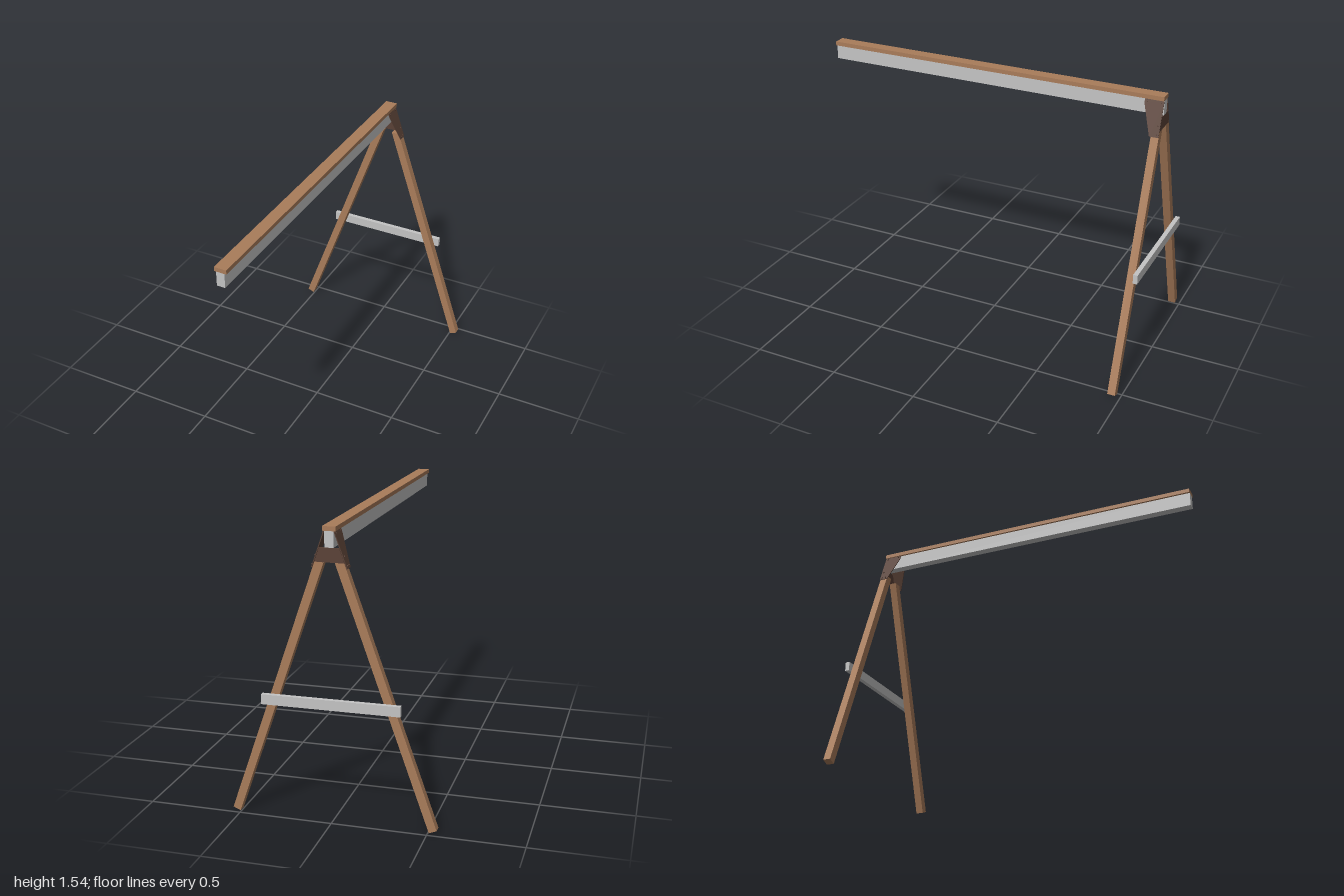
import * as THREE from 'three';

export function createModel() {
  const model = new THREE.Group();
  model.name = 'swingFrame';

  const mat = (name, color) => {
    const m = new THREE.MeshStandardMaterial({ color });
    m.name = name;
    return m;
  };
  const wood = mat('wood', 0xa97c5a);
  const grey = mat('galvanisedGrey', 0xc4c4c4);
  const dark = mat('darkBracket', 0x5a4136);

  const add = (name, geometry, material) => {
    const mesh = new THREE.Mesh(geometry, material);
    mesh.name = name;
    model.add(mesh);
    return mesh;
  };
  // Box given by its lower and upper limits
  const box = (name, material, [x0, y0, z0], [x1, y1, z1]) =>
    add(name, new THREE.BoxGeometry(x1 - x0, y1 - y0, z1 - z0), material)
      .position.set((x0 + x1) / 2, (y0 + y1) / 2, (z0 + z1) / 2);
  // Flat outline extruded along z
  const prism = (points, depth) => new THREE.ExtrudeGeometry(
    new THREE.Shape(points.map(([x, y]) => new THREE.Vector2(x, y))),
    { depth, bevelEnabled: false });

  const back = -0.975;

  // Long beam with its cap board
  box('capBoard', wood, [-0.034, 1.518, back], [0.034, 1.541, 1]);
  box('beam', grey, [-0.023, 1.437, back], [0.023, 1.518, 1]);

  // Cross brace behind the legs
  box('crossBrace', grey, [-0.362, 0.617, -1], [0.362, 0.67, back]);

  // Bracket plate under the beam, between the side plates
  add('bracketBackPlate', prism(
    [[-0.076, 1.364], [0.076, 1.364], [0.051, 1.437], [-0.051, 1.437]], 0.007), dark)
    .position.z = back;

  const slope = 0.352;
  const plateX = (y) => 0.0235 + slope * (1.518 - y);

  for (const s of [1, -1]) {
    const side = s > 0 ? 'left' : 'right';

    // Splayed leg, cut level at the top and square at the foot
    add(side + 'Leg', prism(
      [[s * 0.506, 0.003], [s * 0.546, 0.019], [s * 0.075, 1.365], [s * 0.028, 1.365]], 0.043), wood)
      .position.z = back;

    // Side plate of the bracket, sheared to follow the leg
    const plate = prism(
      [[back, 1.337], [-0.925, 1.337], [-0.872, 1.495], [-0.872, 1.517], [back, 1.517]]
        .map(([z, y]) => [-s * z, y]), 0.005);
    plate.rotateY(s * Math.PI / 2);
    const p = plate.attributes.position;
    for (let i = 0; i < p.count; i++) {
      p.setX(i, p.getX(i) + s * plateX(p.getY(i)));
    }
    plate.computeVertexNormals();
    add(side + 'BracketPlate', plate, dark);

    // Bolt heads on the side plate
    for (const [y, z] of [[1.507, -0.885], [1.507, -0.96], [1.395, -0.96], [1.35, -0.962], [1.35, -0.938]]) {
      const bolt = add(side + 'Bolt', new THREE.CylinderGeometry(0.005, 0.005, 0.006, 8), dark);
      bolt.position.set(s * (plateX(y) + 0.007), y, z);
      bolt.rotation.z = -s * (Math.PI / 2 - Math.atan(slope));
    }
  }
  return model;
}
